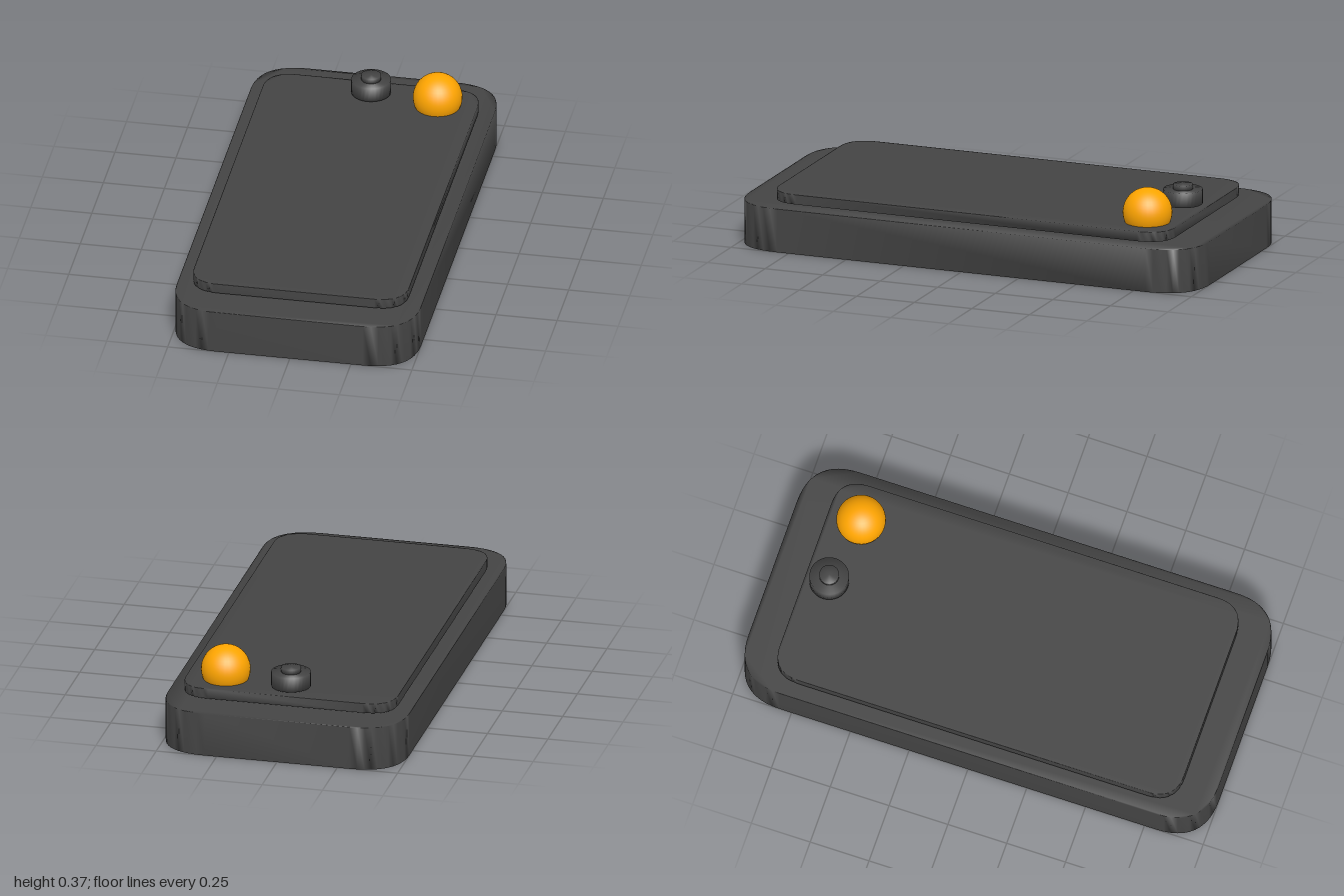
import * as THREE from 'three';
import { mergeVertices } from 'three/addons/utils/BufferGeometryUtils.js';

// Share vertices across edges so the shading is soft everywhere
function soften(geometry) {
  geometry.deleteAttribute('normal');
  geometry.deleteAttribute('uv');
  const merged = mergeVertices(geometry, 1e-4);
  merged.computeVertexNormals();
  return merged;
}

// Flat slab with rounded corners, lying in the ground plane from y = 0 up
function roundedSlab(width, length, radius, height) {
  const x = width / 2, y = length / 2, r = radius;
  const s = new THREE.Shape();
  s.moveTo(-x + r, -y);
  s.lineTo(x - r, -y);
  s.quadraticCurveTo(x, -y, x, -y + r);
  s.lineTo(x, y - r);
  s.quadraticCurveTo(x, y, x - r, y);
  s.lineTo(-x + r, y);
  s.quadraticCurveTo(-x, y, -x, y - r);
  s.lineTo(-x, -y + r);
  s.quadraticCurveTo(-x, -y, -x + r, -y);
  const g = new THREE.ExtrudeGeometry(s, { depth: height, bevelEnabled: false, curveSegments: 12 });
  g.rotateX(-Math.PI / 2);
  return soften(g);
}

export function createModel() {
  const group = new THREE.Group();
  const dark = new THREE.MeshStandardMaterial({ color: 0x444444 });
  const orange = new THREE.MeshStandardMaterial({ color: 0xffa500 });

  function add(name, geometry, material, x, y, z) {
    const mesh = new THREE.Mesh(geometry, material);
    mesh.name = name;
    mesh.position.set(x, y, z);
    group.add(mesh);
  }

  // Case and the thin panel hovering just above it
  add('body', roundedSlab(1, 2, 0.2, 0.18), dark, 0, 0, 0);
  add('topPanel', roundedSlab(0.88, 1.72, 0.12, 0.04), dark, 0, 0.19, 0);

  // Stepped round button near the back edge
  add('buttonBase', soften(new THREE.CylinderGeometry(0.08, 0.08, 0.06, 32)), dark, 0, 0.27, -0.76);
  add('buttonCap', soften(new THREE.CylinderGeometry(0.04, 0.04, 0.02, 32)), dark, 0, 0.31, -0.76);

  // Ball sunk through the panel
  add('ball', new THREE.SphereGeometry(0.1, 32, 24), orange, 0.28, 0.27, -0.72);

  return group;
}
